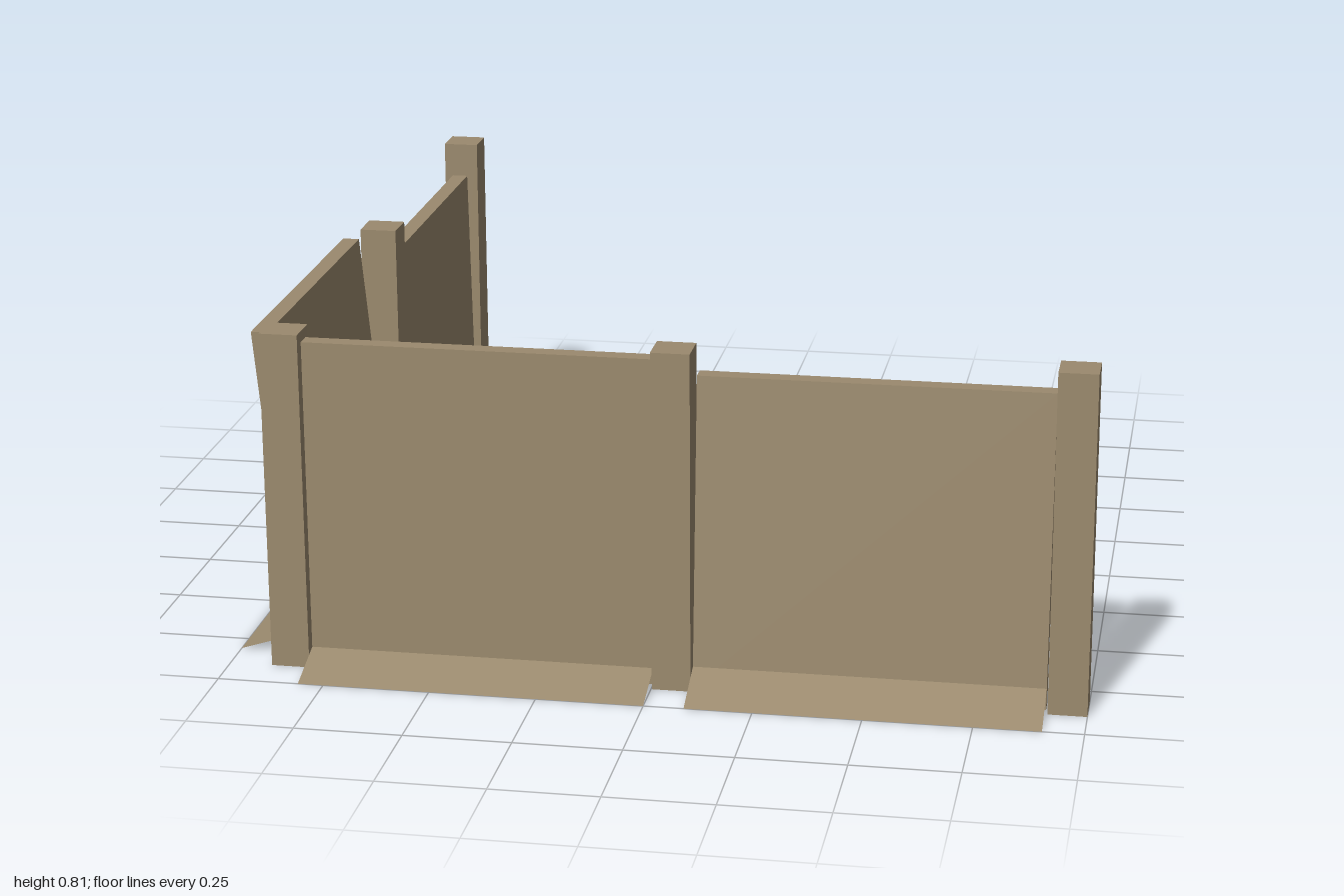
import * as THREE from 'three';

const wood = new THREE.MeshStandardMaterial({ color: 0x9b8a6e });
wood.name = 'weathered tan';
wood.side = THREE.DoubleSide;

const POST = { width: 0.09, height: 0.81 };
const PANEL_DEPTH = 0.04;

function addMesh(parent, name, geometry) {
  const mesh = new THREE.Mesh(geometry, wood);
  mesh.name = name;
  parent.add(mesh);
  return mesh;
}

// Upright slab whose top is shifted from depth z0 (bottom) to z1 (top)
function panelGeometry(length, height, z0, z1) {
  const g = new THREE.BoxGeometry(length, height, PANEL_DEPTH);
  g.translate(0, height / 2, 0);
  const p = g.attributes.position;
  for (let i = 0; i < p.count; i++) {
    p.setZ(i, p.getZ(i) + THREE.MathUtils.lerp(z0, z1, p.getY(i) / height));
  }
  g.computeVertexNormals();
  return g;
}

// Thin sloping sheet from the panel face (zTop, height) down to the ground (zGround)
function skirtGeometry(length, height, zTop, zGround) {
  const g = new THREE.PlaneGeometry(length, 1);
  const p = g.attributes.position;
  for (let i = 0; i < p.count; i++) {
    const top = p.getY(i) > 0;
    p.setY(i, top ? height : 0);
    p.setZ(i, top ? zTop : zGround);
  }
  // keep the front of the sheet facing upward on the inner side too
  if (zGround < zTop) g.setIndex([...g.index.array].reverse());
  g.computeVertexNormals();
  return g;
}

// A straight wall along x: posts with a panel and two ground skirts in each bay
function buildWall(name, posts, bays) {
  const wall = new THREE.Group();
  wall.name = name;
  for (const x of posts) {
    const post = addMesh(wall, 'post', new THREE.BoxGeometry(POST.width, POST.height, POST.width));
    post.position.set(x, POST.height / 2, 0.855);
  }
  for (const b of bays) {
    const bay = new THREE.Group();
    bay.name = 'bay';
    bay.position.x = (b.from + b.to) / 2;
    const length = b.to - b.from;
    const faceAt = (y, side) =>
      THREE.MathUtils.lerp(b.bottom, b.top, y / b.height) + side * PANEL_DEPTH / 2;
    addMesh(bay, 'panel', panelGeometry(length, b.height, b.bottom, b.top));
    addMesh(bay, 'outerSkirt', skirtGeometry(length, b.outer, faceAt(b.outer, 1), 1));
    addMesh(bay, 'innerSkirt', skirtGeometry(length, b.inner, faceAt(b.inner, -1), 0.71));
    wall.add(bay);
  }
  return wall;
}

export function createModel() {
  const model = new THREE.Group();
  model.name = 'cornerFence';

  // Front wall: one upright panel, one leaning inward
  model.add(buildWall('frontWall', [-0.855, 0.047, 0.955], [
    { from: -0.81, to: 0.0, height: 0.785, bottom: 0.85, top: 0.85, outer: 0.04, inner: 0.06 },
    { from: 0.093, to: 0.905, height: 0.733, bottom: 0.855, top: 0.79, outer: 0.05, inner: 0.05 },
  ]));

  // Side wall shares the corner post: one panel leaning outward, one nearly upright
  const side = buildWall('sideWall', [-0.05, -0.955], [
    { from: -0.005, to: 0.81, height: 0.785, bottom: 0.852, top: 0.925, outer: 0.04, inner: 0.065 },
    { from: -0.91, to: -0.097, height: 0.722, bottom: 0.846, top: 0.859, outer: 0.045, inner: 0.045 },
  ]);
  side.rotation.y = -Math.PI / 2;
  model.add(side);

  return model;
}
